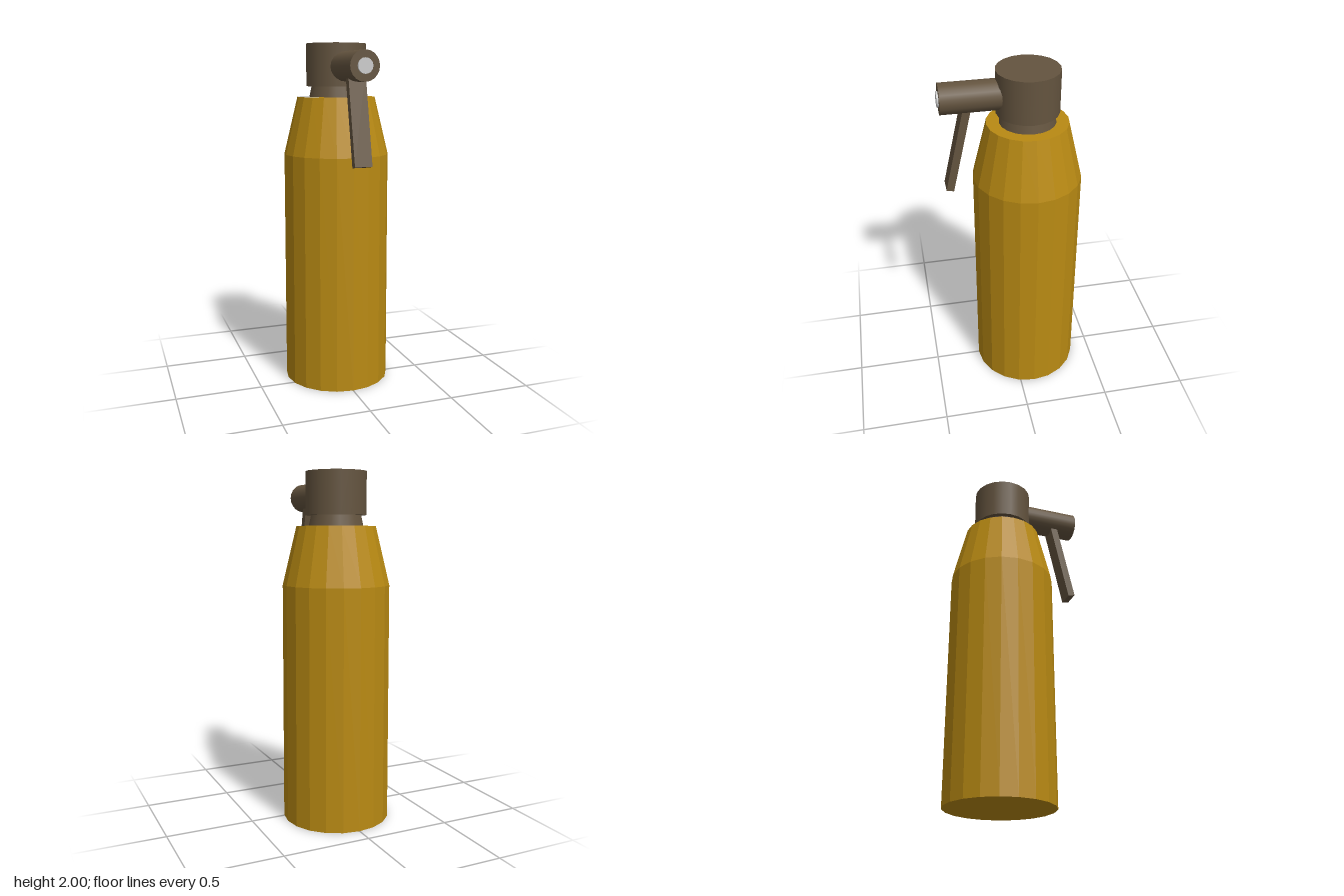
import * as THREE from 'three';

const SIDES = 20;
const AXIS_Z = -0.085; // bottle axis
const NOZZLE_Y = 1.87;

const ochre = new THREE.MeshStandardMaterial({ color: 0xb98a13, flatShading: true });
const brown = new THREE.MeshStandardMaterial({ color: 0x64543f });
const grey = new THREE.MeshStandardMaterial({ color: 0xcccccc });

export function createModel() {
  const model = new THREE.Group();
  model.name = 'sprayBottle';

  const add = (name, geometry, material, x, y, z) => {
    const mesh = new THREE.Mesh(geometry, material);
    mesh.name = name;
    mesh.position.set(x, y, z);
    model.add(mesh);
    return mesh;
  };

  // Upright cylinder on the bottle axis, given by its bottom and top
  const upright = (name, rBottom, rTop, y0, y1, material, open = false) =>
    add(name, new THREE.CylinderGeometry(rTop, rBottom, y1 - y0, SIDES, 1, open),
      material, 0, (y0 + y1) / 2, AXIS_Z);

  // Cylinder lying along z, given by its back and front
  const lying = (name, r, z0, z1, material) =>
    add(name, new THREE.CylinderGeometry(r, r, z1 - z0, SIDES).rotateX(Math.PI / 2),
      material, 0, NOZZLE_Y, (z0 + z1) / 2);

  // Faceted body with a tapered shoulder
  const profile = [[0, 0], [0.31, 0], [0.305, 1.37], [0.225, 1.7]]
    .map(([r, y]) => new THREE.Vector2(r, y));
  add('body', new THREE.LatheGeometry(profile, SIDES), ochre, 0, 0, AXIS_Z);

  // Flat rim, a quarter of it in grey
  const step = Math.PI * 2 / SIDES;
  const rim = (name, first, count, material) =>
    add(name, new THREE.RingGeometry(0.1, 0.225, count, 1, first * step, count * step)
      .rotateX(-Math.PI / 2), material, 0, 1.7, AXIS_Z);
  rim('rim', 12, 15, ochre);
  rim('rimPatch', 7, 5, grey);

  // Neck and cap
  upright('neck', 0.155, 0.14, 1.7, 1.77, brown, true);
  upright('cap', 0.172, 0.172, 1.76, 2, brown);

  // Nozzle with its tip
  lying('nozzle', 0.083, 0, 0.385, brown);
  lying('nozzleTip', 0.042, 0.37, 0.395, grey);

  // Trigger lever slanting forward from under the nozzle
  const trigger = add('trigger', new THREE.BoxGeometry(0.1, 0.52, 0.042), brown, 0, 1.59, 0.297);
  trigger.rotation.x = -0.222;

  return model;
}
